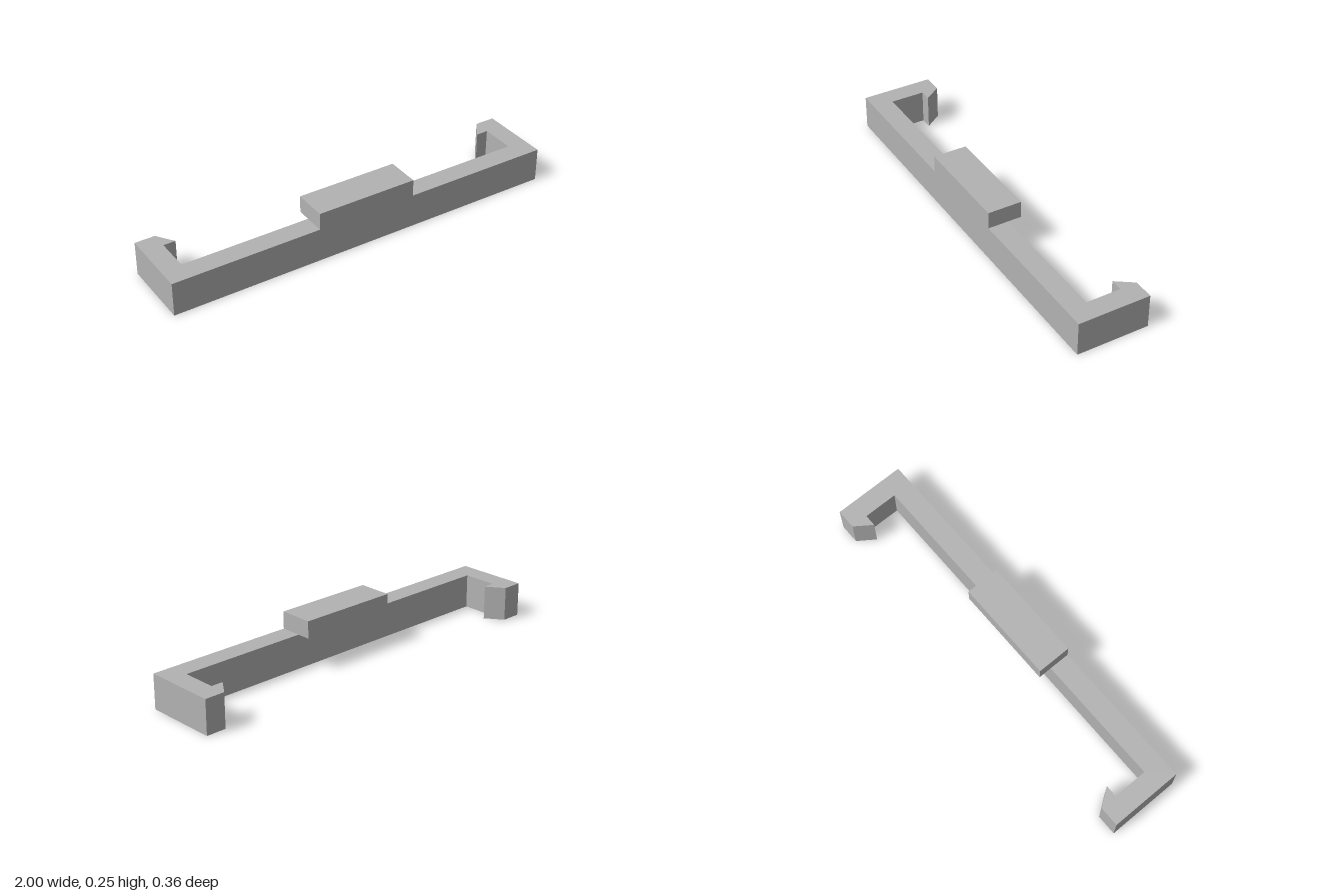
import * as THREE from 'three';

export function createModel() {
  const model = new THREE.Group();
  model.name = 'clipBracket';
  const grey = new THREE.MeshStandardMaterial({ color: 0xb2b2b2 });
  grey.name = 'grey';

  const height = 0.17, front = 0.18, back = -0.18, barBack = 0.077;

  // Right half of the plan outline as [x, z]: bar, arm and inward hook
  const half = [
    [1, front], [1, back], [0.9, back], [0.84, -0.095],
    [0.9, -0.095], [0.9, barBack],
  ];
  const outline = [...half, ...half.map(([x, z]) => [-x, z]).reverse()];

  // Clip: bar with two hooked arms, extruded upward
  const shape = new THREE.Shape(outline.map(([x, z]) => new THREE.Vector2(x, -z)));
  const clipGeometry = new THREE.ExtrudeGeometry(shape, { depth: height, bevelEnabled: false });
  clipGeometry.rotateX(-Math.PI / 2);
  const clip = new THREE.Mesh(clipGeometry, grey);
  clip.name = 'barWithHookedArms';
  model.add(clip);

  // Raised tab, flush with the front and overhanging the bar at the back
  const tabBack = 0.01, tabHeight = 0.085;
  const tab = new THREE.Mesh(new THREE.BoxGeometry(0.51, tabHeight, front - tabBack), grey);
  tab.name = 'raisedTab';
  tab.position.set(0, height + tabHeight / 2, (front + tabBack) / 2);
  model.add(tab);

  return model;
}
